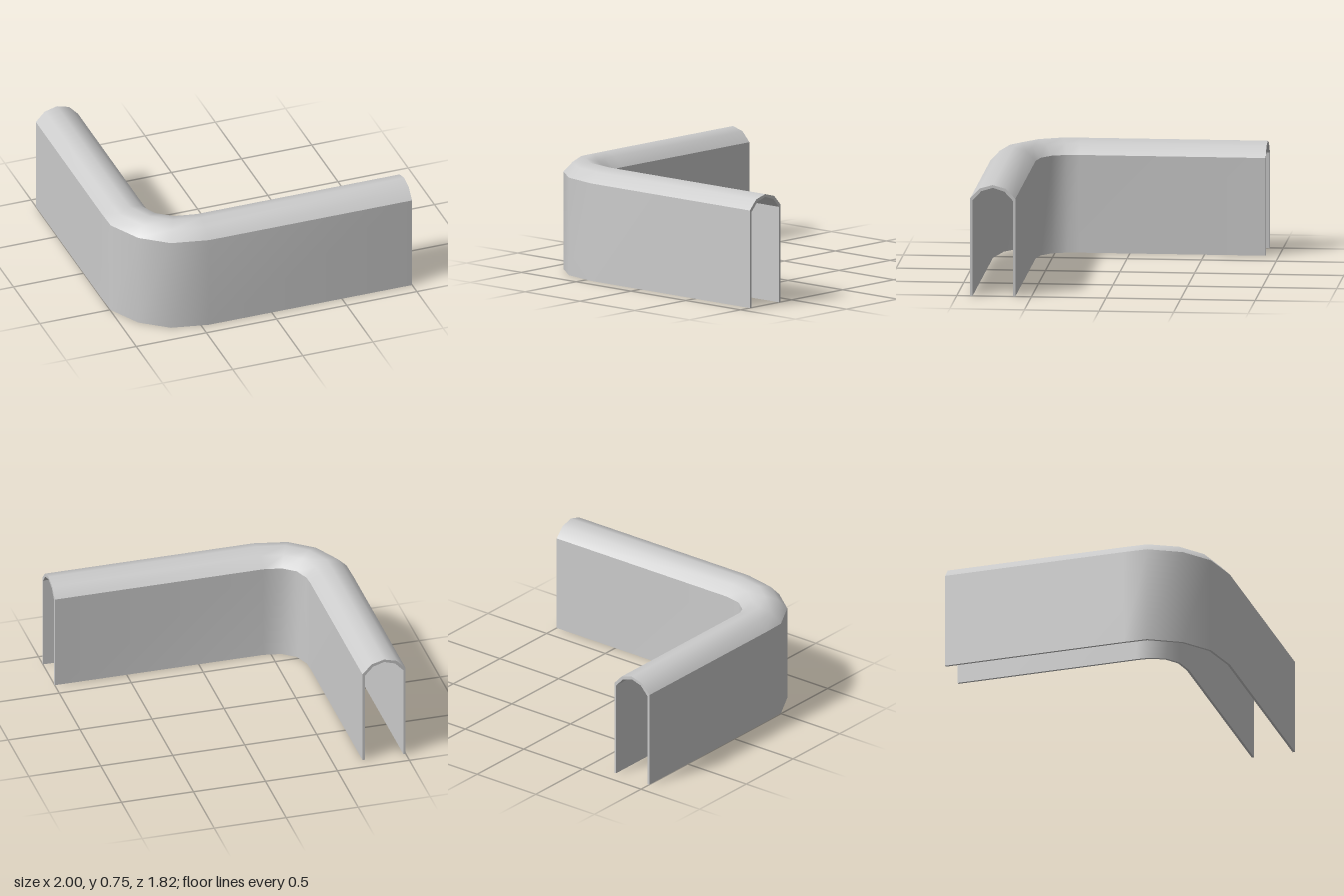
import * as THREE from 'three';
import { toCreasedNormals } from 'three/addons/utils/BufferGeometryUtils.js';

// Stations along the corner: [outer x, outer z, inner x, inner z]
const STATIONS = [
  [-1, -0.91, -0.7, -0.91],
  [-1, 0.34, -0.7, 0.34],
  [-0.996, 0.504, -0.695, 0.42],
  [-0.88, 0.718, -0.655, 0.52],
  [-0.7, 0.857, -0.57, 0.585],
  [-0.447, 0.91, -0.447, 0.608],
  [1, 0.91, 1, 0.608],
];

// Half of the arched section, from the foot to the crown: [offset, height]
const OUTSIDE = [[-0.15, 0], [-0.15, 0.662], [-0.087, 0.729], [0, 0.753]];
const INSIDE = [[-0.134, 0], [-0.134, 0.648], [-0.077, 0.71], [0, 0.734]];

// Mirrors a half section across its crown
const mirrored = (half) => [...half, ...half.slice(0, -1).reverse().map(([u, y]) => [-u, y])];

function channelGeometry() {
  const n = mirrored(OUTSIDE).length;
  const loop = [...mirrored(OUTSIDE), ...mirrored(INSIDE).reverse()];
  const rings = STATIONS.map(([ox, oz, ix, iz]) => loop.map(([u, y]) => {
    const t = u / 0.3 + 0.5;
    return [ox + (ix - ox) * t, y, oz + (iz - oz) * t];
  }));

  const positions = [];
  const quad = (a, b, c, d) => [a, b, c, a, c, d].forEach((p) => positions.push(...p));

  // Walls, arch and bottom rims
  for (let k = 0; k < rings.length - 1; k++) {
    for (let j = 0; j < loop.length; j++) {
      const m = (j + 1) % loop.length;
      quad(rings[k][j], rings[k + 1][j], rings[k + 1][m], rings[k][m]);
    }
  }

  // Thin end faces
  const first = rings[0], last = rings[rings.length - 1];
  const top = 2 * n - 1;
  for (let j = 0; j < n - 1; j++) {
    quad(first[j], first[j + 1], first[top - j - 1], first[top - j]);
    quad(last[top - j], last[top - j - 1], last[j + 1], last[j]);
  }

  const geometry = new THREE.BufferGeometry();
  geometry.setAttribute('position', new THREE.Float32BufferAttribute(positions, 3));
  return toCreasedNormals(geometry, 0.66);
}

export function createModel() {
  const group = new THREE.Group();
  group.name = 'cornerCover';
  const channel = new THREE.Mesh(channelGeometry(), new THREE.MeshStandardMaterial({ color: 0xcccccc }));
  channel.name = 'archedChannel';
  group.add(channel);
  return group;
}
